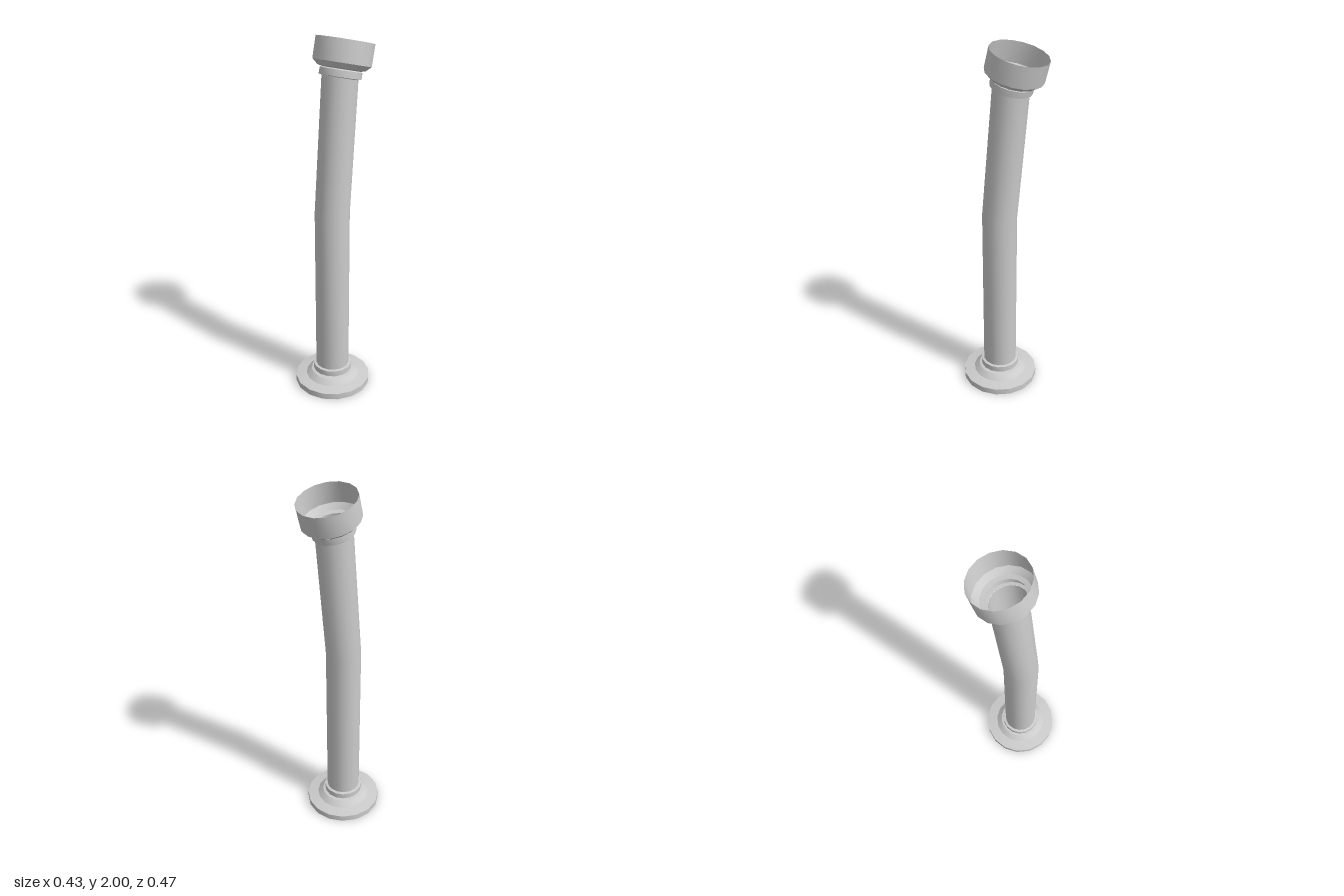
import * as THREE from 'three';
import { toCreasedNormals } from 'three/addons/utils/BufferGeometryUtils.js';

const SIDES = 16;
const TILT = -0.25; // backward lean of the socket
const material = new THREE.MeshStandardMaterial({ color: 0xcccccc, side: THREE.DoubleSide });

// Open turned shell from [radius, height] pairs
const turned = (profile) =>
  new THREE.LatheGeometry(profile.map(([r, y]) => new THREE.Vector2(r, y)), SIDES);

function part(name, geometry) {
  const mesh = new THREE.Mesh(toCreasedNormals(geometry, 0.5), material);
  mesh.name = name;
  return mesh;
}

// Tube whose rings each have a radius, centre height, centre depth and tilt
function bentTube(rings) {
  const geometry = turned(rings.map(({ r }, i) => [r, i]));
  const pos = geometry.attributes.position;
  const v = new THREE.Vector3();
  const xAxis = new THREE.Vector3(1, 0, 0);
  for (let i = 0; i < pos.count; i++) {
    v.fromBufferAttribute(pos, i);
    const { y, z, tilt } = rings[Math.round(v.y)];
    v.setY(0).applyAxisAngle(xAxis, tilt);
    pos.setXYZ(i, v.x, v.y + y, v.z + z);
  }
  return geometry;
}

export function createModel() {
  const group = new THREE.Group();
  group.name = 'bentPipe';

  // Foot: wide flange, sloped shoulder, neck and collar, hollow below
  const foot = part('footFlange', turned([
    [0.215, 0], [0.215, 0.035], [0.153, 0.045], [0.123, 0.072],
    [0.1, 0.076], [0.11, 0.082], [0.11, 0.115], [0.095, 0.118],
  ]));
  foot.position.z = 0.023;
  group.add(foot);

  // Pipe: straight below, leaning back above the bend
  group.add(part('pipe', bentTube([
    { r: 0.095, y: 0.118, z: 0.023, tilt: 0 },
    { r: 0.095, y: 1.065, z: 0.023, tilt: -0.05 },
    { r: 0.095, y: 1.783, z: -0.042, tilt: TILT },
  ])));

  // Socket: collar, neck and open cup, measured down from the rim
  const socket = part('socket', turned([
    [0.095, -0.185], [0.11, -0.182], [0.11, -0.148], [0.1, -0.143],
    [0.123, -0.138], [0.152, -0.113], [0.152, 0],
  ]));
  socket.position.set(0, 1.963, -0.088);
  socket.rotation.x = TILT;
  group.add(socket);

  return group;
}
